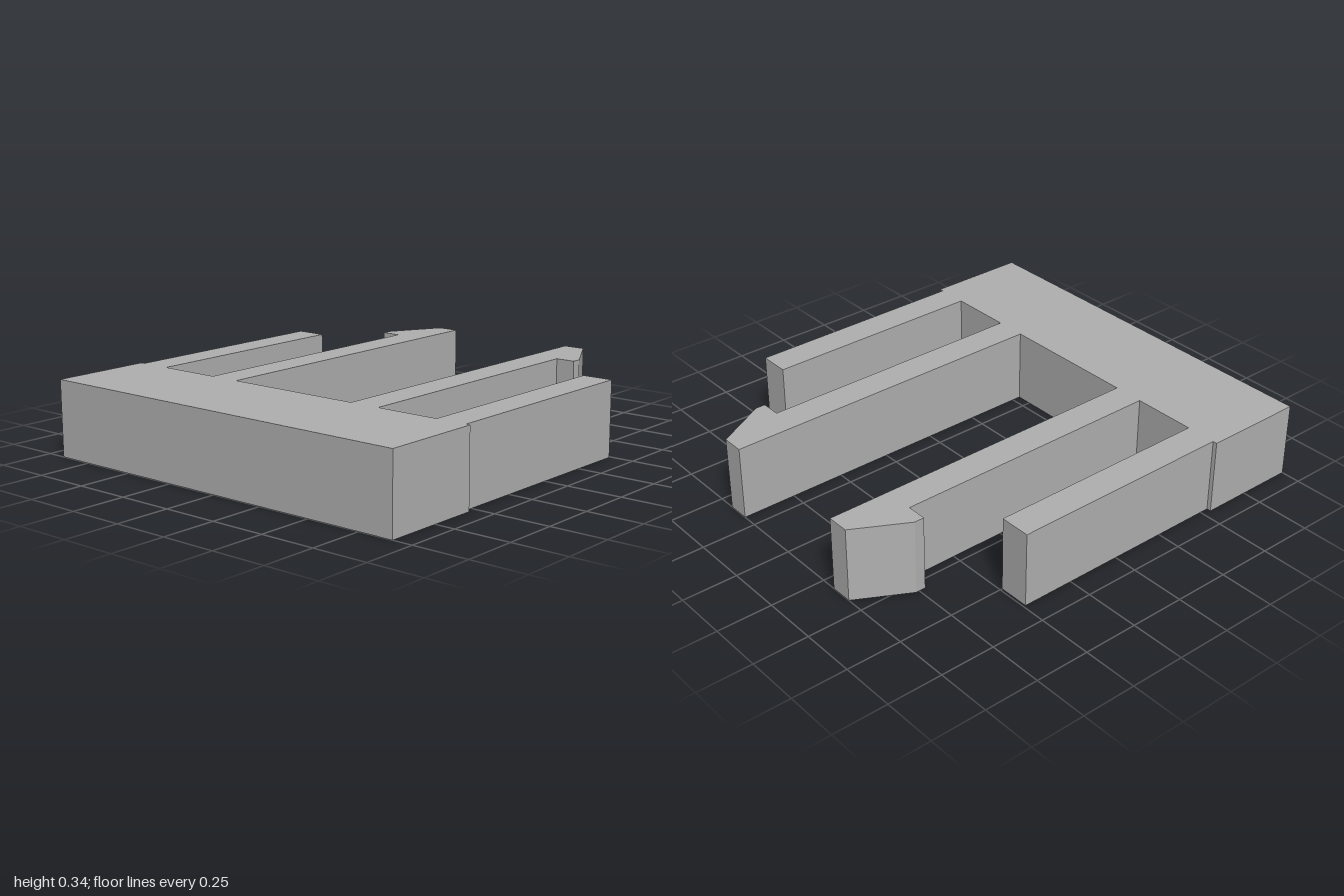
import * as THREE from 'three';

const HEIGHT = 0.34;

// Right-to-centre half of the plan outline as [x, z], front corner first
const base = [[0.91, 1], [0.91, 0.54]];
const guideArm = [[0.89, 0.54], [0.89, -0.49], [0.75, -0.49], [0.75, 0.54]];
const barbedArm = [
  [0.46, 0.54], [0.46, -0.72], [0.55, -0.72], [0.55, -0.765],
  [0.42, -1], [0.32, -1], [0.32, 0.54],
];

export function createModel() {
  const group = new THREE.Group();
  group.name = 'buckleClip';

  const grey = new THREE.MeshStandardMaterial({ color: 0xb0b0b0 });
  grey.name = 'grey plastic';

  // Mirror the half outline to get one continuous moulded body
  const half = [...base, ...guideArm, ...barbedArm];
  const mirrored = half.map(([x, z]) => [-x, z]).reverse();
  const outline = [...half, ...mirrored].map(([x, z]) => new THREE.Vector2(x, -z));

  // Extrude the plan upward from the ground
  const geometry = new THREE.ExtrudeGeometry(new THREE.Shape(outline), {
    depth: HEIGHT,
    bevelEnabled: false,
  });
  geometry.rotateX(-Math.PI / 2);

  const body = new THREE.Mesh(geometry, grey);
  body.name = 'baseWithArms';
  group.add(body);
  return group;
}
